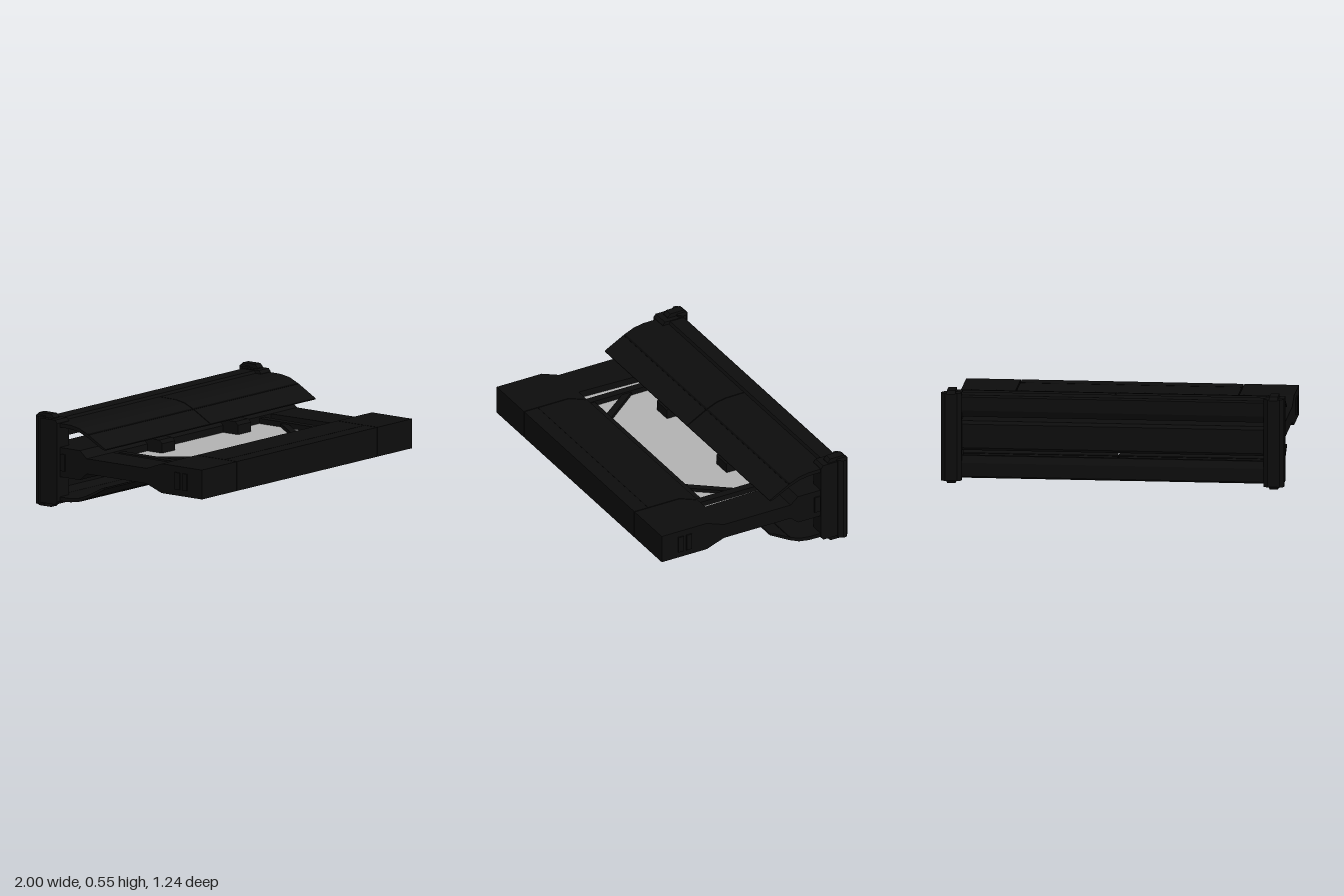
import * as THREE from 'three';

const MID = 0.275; // height of the horizontal mirror plane

export function createModel() {
  const model = new THREE.Group();
  const black = new THREE.MeshStandardMaterial({ color: 0x0d0d0d });
  black.name = 'black';
  const seamBlack = new THREE.MeshStandardMaterial({ color: 0x060606 });
  seamBlack.name = 'seam black';
  const glass = new THREE.MeshStandardMaterial({ color: 0xb2b2b2 });
  glass.name = 'pale grey';

  const add = (name, geo, mat = black) => {
    const mesh = new THREE.Mesh(geo, mat);
    mesh.name = name;
    model.add(mesh);
    return mesh;
  };
  const box = (name, x0, x1, y0, y1, z0, z1, mat) =>
    add(name, new THREE.BoxGeometry(x1 - x0, y1 - y0, z1 - z0)
      .translate((x0 + x1) / 2, (y0 + y1) / 2, (z0 + z1) / 2), mat);
  const outline = (pts) => new THREE.Shape(pts.map(([a, b]) => new THREE.Vector2(a, b)));
  // Side profile of [z, y] points, extruded from x0 to x1
  const prism = (name, pts, x0, x1, mat) =>
    add(name, new THREE.ExtrudeGeometry(outline(pts.map(([z, y]) => [-z, y])),
      { depth: x1 - x0, bevelEnabled: false }).rotateY(Math.PI / 2).translate(x0, 0, 0), mat);
  // Plan of [x, z] points, extruded from y0 to y1
  const plan = (name, pts, y0, y1, hole, mat) => {
    const shape = outline(pts.map(([x, z]) => [x, -z]));
    if (hole) shape.holes.push(new THREE.Path(hole.map(([x, z]) => new THREE.Vector2(x, -z))));
    return add(name, new THREE.ExtrudeGeometry(shape, { depth: y1 - y0, bevelEnabled: false })
      .rotateX(-Math.PI / 2).translate(0, y0, 0), mat);
  };
  // Closed profile that is symmetric about MID, from [z, half height] points
  const symmetric = (pts) => [
    ...pts.map(([z, h]) => [z, MID + h]),
    ...pts.slice().reverse().map(([z, h]) => [z, MID - h]),
  ];

  // Front slab: two ends and a centre panel, parted by narrow grooves
  const front = [[0.62, 0.087], [0.32, 0.087], [0.205, 0.045]];
  const frontProfile = symmetric(front);
  prism('frontCentrePanel', frontProfile, -0.646, 0.646);
  prism('frontCore', symmetric(front.map(([z, h]) => [Math.min(z, 0.612), h - 0.007])), -0.9, 0.9, seamBlack);
  for (const s of [-1, 1]) {
    const [a, b] = s > 0 ? [0.652, 0.97] : [-0.97, -0.652];
    prism('frontEndBlock', frontProfile, a, b);
  }
  for (const y of [MID + 0.087, MID - 0.087])
    box('frontPanelSeam', -0.646, 0.646, y - 0.001, y + 0.001, 0.525, 0.53, seamBlack);

  // Neck frame around the window
  plan('neckFrame', [[-0.97, 0.21], [0.97, 0.21], [0.97, -0.27], [-0.97, -0.27]], 0.23, 0.32,
    [[-0.745, 0.2], [0.74, 0.2], [0.73, -0.25], [-0.73, -0.25]]);
  box('windowPane', -0.745, 0.74, MID - 0.004, MID + 0.004, -0.25, 0.205, glass);
  box('windowFrontBar', -0.64, 0.64, 0.245, 0.305, 0.162, 0.205);
  for (const s of [-1, 1]) {
    box('windowSideBar', s * 0.647 - 0.024, s * 0.647 + 0.024, 0.24, 0.31, -0.25, 0.205);
    plan('windowBrace', [[s * 0.625, -0.085], [s * 0.625, -0.02], [s * 0.455, 0.2], [s * 0.41, 0.2], [s * 0.42, 0.175]],
      0.25, 0.30);
    // Rear brackets behind the window
    prism('windowBracket', symmetric([[-0.13, 0.06], [-0.15, 0.079], [-0.245, 0.079], [-0.27, 0.065]]),
      s * 0.35 - 0.06, s * 0.35 + 0.06);
  }

  // Rear slab and central back beam
  prism('rearSlab', symmetric([[-0.24, 0.045], [-0.29, 0.087], [-0.45, 0.087]]), -0.97, 0.97);
  prism('backMiddleBeam', symmetric([[-0.45, 0.087], [-0.55, 0.087], [-0.57, 0.07]]), -0.92, 0.92);

  // Curved shells and back beams, above and mirrored below
  const shell = [
    [-0.49, 0.505], [-0.36, 0.503], [-0.295, 0.492], [-0.23, 0.464], [-0.1, 0.392],
    [-0.103, 0.385], [-0.125, 0.39], [-0.235, 0.447], [-0.3, 0.472], [-0.37, 0.481], [-0.49, 0.481],
  ];
  const shellSeam = [[-0.225, 0.463], [-0.235, 0.468], [-0.24, 0.446], [-0.23, 0.442]];
  const beam = [[-0.48, 0.505], [-0.49, 0.52], [-0.58, 0.52], [-0.59, 0.51], [-0.59, 0.43], [-0.57, 0.39], [-0.545, 0.39], [-0.545, 0.46], [-0.48, 0.48]];
  for (const [place, flip] of [['upper', (p) => p], ['lower', (p) => p.map(([z, y]) => [z, 2 * MID - y])]]) {
    prism(place + 'ShellLeft', flip(shell), 0.003, 0.97);
    prism(place + 'ShellRight', flip(shell), -0.97, -0.003);
    prism(place + 'ShellSeam', flip(shellSeam), -0.965, 0.965, seamBlack);
    prism(place + 'BackBeam', flip(beam), -0.92, 0.92);
  }

  // Corner posts
  const postFront = symmetric([[-0.44, 0.232], [-0.455, 0.25], [-0.49, 0.25], [-0.58, 0.25]]);
  const postCore = symmetric([[-0.49, 0.255], [-0.508, 0.275], [-0.6, 0.275], [-0.62, 0.255]]);
  for (const s of [-1, 1]) {
    const c = s * 0.94;
    prism('postFrontBlock', postFront, c - 0.055, c + 0.035 + (s < 0 ? 0.02 : 0));
    prism('postCore', postCore, c - 0.025, c + 0.025);
    plan('postBackColumn', [[-0.04, -0.55], [0.04, -0.55], [0.06, -0.575], [0.06, -0.595], [0.035, -0.615],
      [-0.035, -0.615], [-0.06, -0.595], [-0.06, -0.575]].map(([x, z]) => [c + x, z]), 0.015, 0.535);
    // Small side studs
    for (const z of [0.44, 0.495, -0.415])
      box('sideStud', s * 0.972 - 0.006, s * 0.972 + 0.006, 0.225, 0.325, z - 0.018, z + 0.018);
  }
  return model;
}
